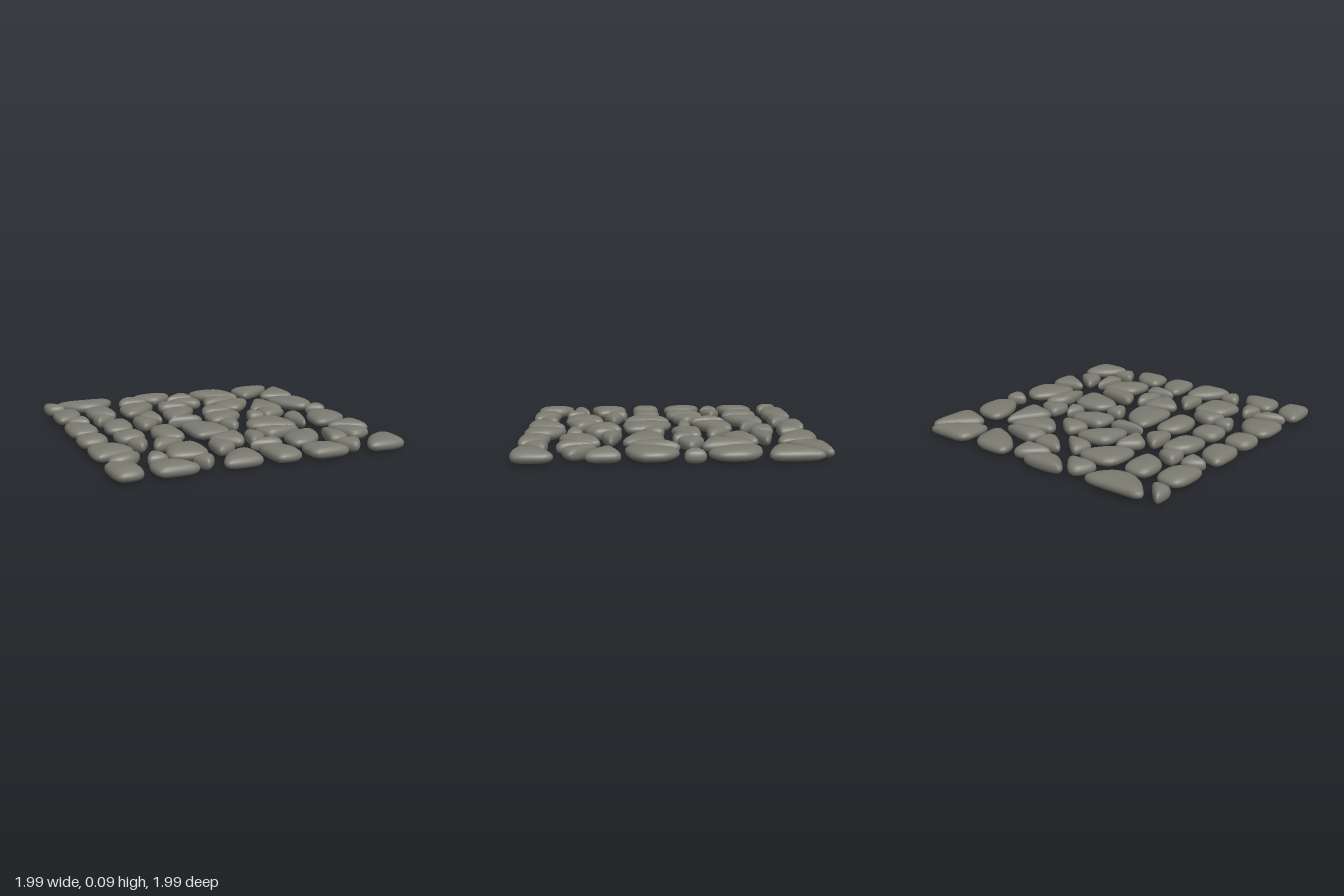
import * as THREE from 'three';

const SIZE = 187;      // half the paving square, in layout units
const HEIGHT = 0.092;  // stone thickness
const STEPS = 5;       // segments on each rounded corner
const LAYERS = 12;     // rings from underside to crown

// Rounds the corners of a flat [x, z, x, z, ...] polygon with quadratic curves.
function roundedOutline(flat) {
  let corners = [];
  for (let i = 0; i < flat.length; i += 2) {
    corners.push(new THREE.Vector2((flat[i] - SIZE) / SIZE, (flat[i + 1] - SIZE) / SIZE));
  }
  if (THREE.ShapeUtils.isClockWise(corners)) corners.reverse();
  const n = corners.length;
  const points = [];
  const cut = (from, to) => {
    const length = from.distanceTo(to);
    return from.clone().lerp(to, Math.min(0.42, 0.12 / length));
  };
  corners.forEach((c, i) => {
    const before = cut(c, corners[(i + n - 1) % n]);
    const after = cut(c, corners[(i + 1) % n]);
    points.push(...new THREE.QuadraticBezierCurve(before, c, after).getPoints(STEPS));
  });
  return points;
}

// Pillow-shaped pebble: the outline shrinks toward its centre above and below.
function pebbleGeometry(flat) {
  const outline = roundedOutline(flat);
  const n = outline.length;
  const centre = new THREE.Vector2();
  outline.forEach((p) => centre.addScaledVector(p, 1 / n));
  const pos = [centre.x, 0, centre.y];
  const index = [];
  for (let k = 1; k < LAYERS; k++) {
    const a = (k / LAYERS - 0.5) * Math.PI;
    const r = Math.pow(Math.cos(a), 0.8);
    const y = HEIGHT / 2 * (1 + Math.sign(a) * Math.pow(Math.abs(Math.sin(a)), 0.85));
    for (const p of outline) {
      pos.push(centre.x + (p.x - centre.x) * r, y, centre.y + (p.y - centre.y) * r);
    }
  }
  pos.push(centre.x, HEIGHT, centre.y);
  const top = pos.length / 3 - 1;
  const lastRing = top - n;
  for (let i = 0; i < n; i++) {
    const j = (i + 1) % n;
    index.push(0, 1 + i, 1 + j);
    index.push(top, lastRing + j, lastRing + i);
    for (let k = 0; k < LAYERS - 2; k++) {
      const a = 1 + k * n + i, b = 1 + k * n + j;
      index.push(a, a + n, b, b, a + n, b + n);
    }
  }
  const g = new THREE.BufferGeometry();
  g.setAttribute('position', new THREE.Float32BufferAttribute(pos, 3));
  g.setIndex(index);
  g.computeVertexNormals();
  return g;
}

export function createModel() {
  const model = new THREE.Group();
  model.name = 'steppingStonePaving';
  const stone = new THREE.MeshStandardMaterial({ color: 0x7a7a70 });
  stone.name = 'grey stone';

  const addRow = (name, outlines) => {
    const row = new THREE.Group();
    row.name = name;
    outlines.forEach((o, i) => {
      const mesh = new THREE.Mesh(pebbleGeometry(o), stone);
      mesh.name = `pavingStone${i + 1}`;
      row.add(mesh);
    });
    model.add(row);
  };

  // Corner points of each stone, from the back row to the front row
  addRow('backRow', [
    [1, 6, 13, 14, 33, 40, 1, 39],
    [14, 2, 104, 2, 98, 24, 80, 40, 56, 41, 38, 31],
    [103, 41, 116, 11, 130, 10, 149, 33, 149, 41],
    [129, 5, 153, 1, 182, 1, 196, 5, 186, 22, 163, 35],
    [176, 38, 203, 11, 218, 10, 223, 38, 218, 42, 190, 41],
    [225, 2, 267, 2, 284, 13, 293, 60, 253, 45, 228, 24],
    [295, 2, 345, 2, 362, 4, 345, 27, 304, 54, 297, 42],
    [372, 9, 373, 82, 348, 76, 318, 64, 345, 33],
  ]);
  addRow('secondRow', [
    [3, 50, 39, 50, 40, 84, 28, 97, 2, 104],
    [50, 50, 86, 50, 87, 104, 62, 97, 49, 84],
    [99, 50, 151, 50, 148, 71, 125, 97, 97, 104],
    [151, 86, 158, 57, 168, 59, 198, 88, 185, 89],
    [175, 50, 201, 47, 222, 50, 222, 73, 211, 80, 195, 70],
    [222, 83, 231, 55, 248, 56, 291, 67, 258, 79],
    [224, 97, 253, 84, 293, 77, 281, 103, 257, 128],
    [303, 81, 311, 103, 319, 154, 293, 147, 268, 139, 285, 111],
    [319, 81, 360, 86, 372, 105, 372, 138, 350, 152, 324, 120],
  ]);
  addRow('thirdRow', [
    [8, 117, 28, 103, 41, 103, 41, 131, 28, 128],
    [48, 102, 62, 104, 81, 116, 62, 127, 49, 132],
    [102, 126, 128, 103, 136, 103, 136, 152, 126, 146],
    [146, 104, 173, 98, 200, 101, 179, 135, 146, 154],
    [197, 136, 209, 105, 221, 107, 243, 127, 243, 138],
  ]);
  addRow('fourthRow', [
    [2, 126, 28, 135, 39, 148, 40, 182, 2, 183],
    [88, 128, 63, 134, 50, 150, 49, 182, 87, 182],
    [96, 129, 108, 136, 129, 157, 103, 178, 95, 165],
    [131, 164, 158, 157, 185, 153, 185, 172, 160, 170],
    [193, 146, 215, 144, 245, 145, 245, 162, 226, 179, 192, 183],
    [246, 183, 255, 155, 261, 155, 272, 176, 271, 184],
    [273, 144, 293, 148, 316, 165, 280, 181, 271, 170],
    [341, 163, 361, 151, 373, 151, 373, 175, 363, 177],
  ]);
  addRow('fifthRow', [
    [2, 192, 39, 192, 39, 230, 2, 230],
    [49, 192, 87, 192, 87, 230, 49, 230],
    [104, 187, 133, 177, 135, 246, 104, 238, 96, 212],
    [145, 177, 171, 182, 191, 200, 198, 240, 173, 244, 145, 246],
    [197, 191, 223, 191, 222, 207, 211, 223, 198, 205],
    [224, 225, 235, 197, 263, 192, 285, 199, 292, 248, 258, 240],
    [297, 187, 320, 173, 319, 203, 304, 243, 297, 228, 292, 203],
    [318, 245, 323, 203, 345, 176, 370, 191, 373, 224, 357, 239],
  ]);
  addRow('sixthRow', [
    [3, 241, 35, 241, 51, 261, 55, 282, 33, 288, 2, 294],
    [55, 241, 68, 238, 81, 241, 79, 254, 68, 271, 58, 255],
    [79, 275, 87, 248, 100, 245, 127, 258, 103, 270],
    [151, 263, 173, 251, 200, 244, 198, 273, 189, 294, 171, 284],
    [197, 299, 203, 259, 212, 249, 222, 267, 224, 284],
    [221, 244, 253, 250, 291, 260, 243, 274, 231, 270],
    [318, 261, 351, 249, 372, 245, 373, 292, 345, 278],
  ]);
  addRow('seventhRow', [
    [9, 310, 33, 298, 58, 292, 46, 315, 24, 319],
    [55, 325, 58, 312, 68, 294, 79, 312, 81, 325, 68, 327],
    [81, 314, 91, 280, 113, 273, 134, 271, 134, 325, 100, 324],
    [143, 320, 146, 271, 163, 288, 174, 304, 161, 315],
    [184, 307, 213, 297, 231, 295, 232, 317, 213, 317],
    [240, 324, 243, 285, 268, 275, 295, 270, 288, 304, 268, 324],
    [292, 324, 297, 298, 306, 272, 315, 298, 321, 324],
    [316, 270, 341, 284, 364, 306, 329, 320],
  ]);
  addRow('frontRow', [
    [2, 317, 28, 325, 39, 338, 39, 367, 27, 372, 4, 371],
    [49, 335, 78, 335, 93, 346, 105, 371, 73, 373, 50, 371],
    [102, 335, 129, 335, 127, 348, 115, 364, 105, 349],
    [126, 370, 148, 332, 180, 317, 182, 369, 163, 373],
    [191, 316, 218, 324, 230, 341, 230, 369, 213, 373, 193, 371],
    [240, 335, 268, 335, 283, 345, 294, 371, 268, 373, 241, 371],
    [288, 335, 306, 333, 324, 335, 318, 350, 306, 365, 295, 351],
    [315, 369, 338, 333, 372, 317, 373, 368, 353, 373],
  ]);
  return model;
}
